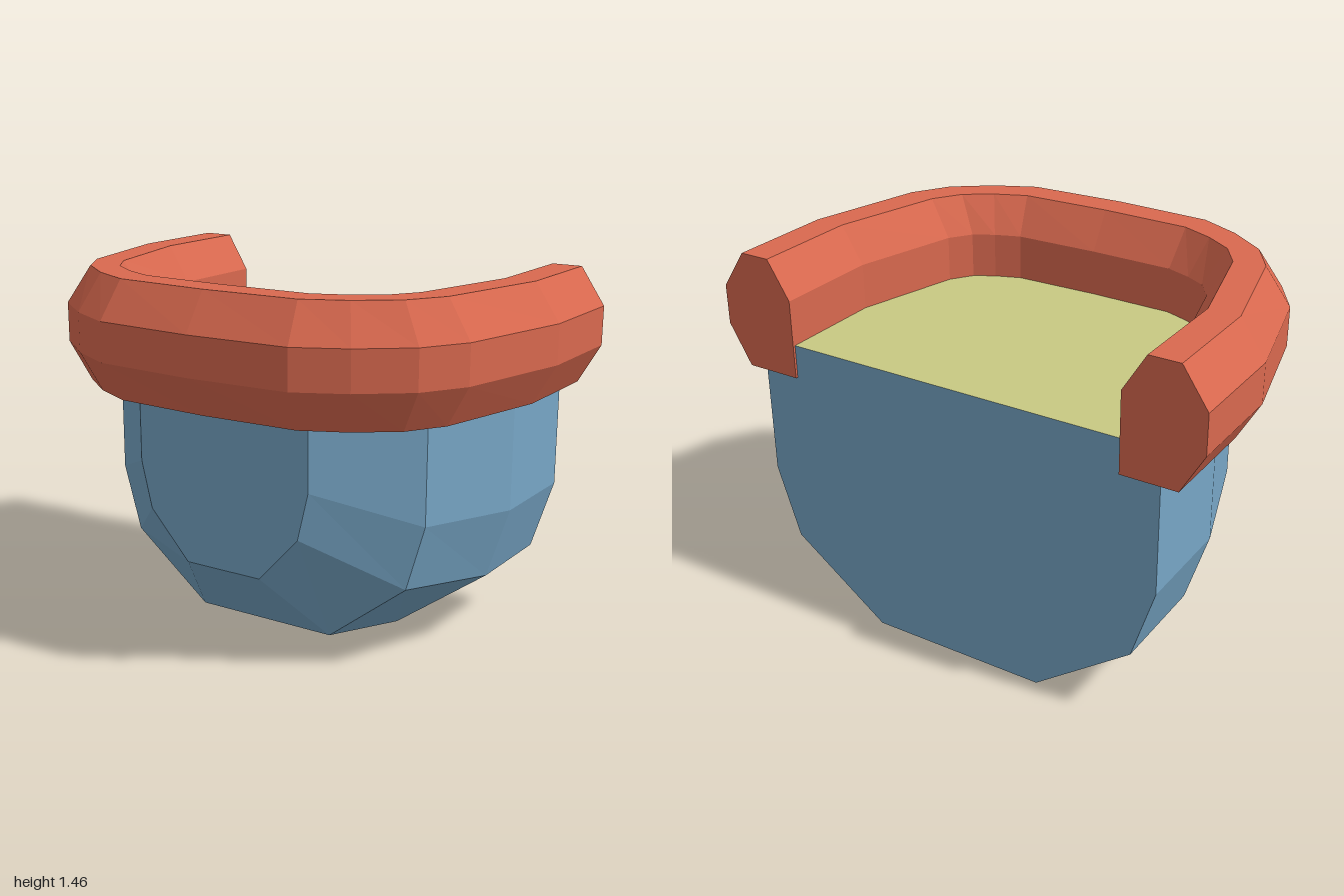
import * as THREE from 'three';

// Joins matching cross-sections (each counter-clockwise, seen looking back along the path) and caps both ends.
function loft(sections, closed) {
  const pos = [];
  const tri = (a, b, c) => pos.push(...a, ...b, ...c);
  const n = sections[0].length;
  for (let s = 0; s < sections.length - 1; s++) {
    const a = sections[s], b = sections[s + 1];
    for (let i = 0; i < (closed ? n : n - 1); i++) {
      const j = (i + 1) % n;
      tri(a[i], a[j], b[j]);
      tri(a[i], b[j], b[i]);
    }
  }
  const first = sections[0], last = sections[sections.length - 1];
  for (let i = 1; i < n - 1; i++) {
    tri(first[0], first[i + 1], first[i]);
    tri(last[0], last[i], last[i + 1]);
  }
  const g = new THREE.BufferGeometry();
  g.setAttribute('position', new THREE.Float32BufferAttribute(pos, 3));
  g.computeVertexNormals();
  return g;
}

function part(name, geometry, color) {
  const mesh = new THREE.Mesh(geometry, new THREE.MeshStandardMaterial({ color, flatShading: true }));
  mesh.name = name;
  return mesh;
}

export function createModel() {
  const group = new THREE.Group();
  const floorY = 1.13;

  // Faceted bowl: half outlines (x, y) from the top down, at each depth z
  const rear = [[0.84, floorY], [0.84, 0.57], [0.75, 0.285], [0.36, 0]];
  const bowlSteps = [
    { z: -0.66, half: rear },
    { z: -0.24, half: rear },
    { z: 0.19, half: [[0.705, floorY], [0.705, 0.6], [0.63, 0.34], [0.3, 0.08]] },
    { z: 0.47, half: [[0.38, floorY], [0.38, 0.745], [0.335, 0.56], [0.165, 0.375]] },
  ];
  const bowlSections = bowlSteps.map(({ z, half }) => [
    ...half.map(([x, y]) => [-x, y, z]),
    ...[...half].reverse().map(([x, y]) => [x, y, z]),
  ]);
  group.add(part('bowl', loft(bowlSections, false), 0x77a6c6));

  // Flat floor closing the top of the bowl
  const edge = bowlSteps.map(({ z, half }) => new THREE.Vector2(half[0][0], -z));
  const mirrored = [...edge].reverse().map((p) => new THREE.Vector2(-p.x, p.y));
  const floor = new THREE.ShapeGeometry(new THREE.Shape([...edge, ...mirrored]));
  floor.rotateX(-Math.PI / 2).translate(0, floorY, 0);
  group.add(part('floor', floor, 0xc8c983));

  // U-shaped rim: stations [outer x, outer z, inner x, inner z] from the left end to the middle
  const stations = [
    [1, -0.67, 0.69, -0.67],
    [1, -0.24, 0.69, -0.24],
    [0.885, 0.24, 0.58, 0.18],
    [0.78, 0.41, 0.52, 0.265],
    [0.6, 0.55, 0.44, 0.31],
    [0.41, 0.645, 0.34, 0.347],
    [0, 0.667, 0, 0.355],
  ];
  const path = [
    ...stations,
    ...stations.slice(0, -1).reverse().map(([ox, oz, ix, iz]) => [-ox, oz, -ix, iz]),
  ];
  // Profile: fraction from inner to outer edge, and height
  const profile = [[0, 1], [0.71, 1], [1, 1.156], [1, 1.31], [0.68, 1.456], [0.29, 1.456], [0, 1.31]];
  const rimSections = path.map(([ox, oz, ix, iz]) =>
    profile.map(([t, y]) => [ix + (ox - ix) * t, y, iz + (oz - iz) * t]));
  group.add(part('rim', loft(rimSections, true), 0xd9694f));

  return group;
}
